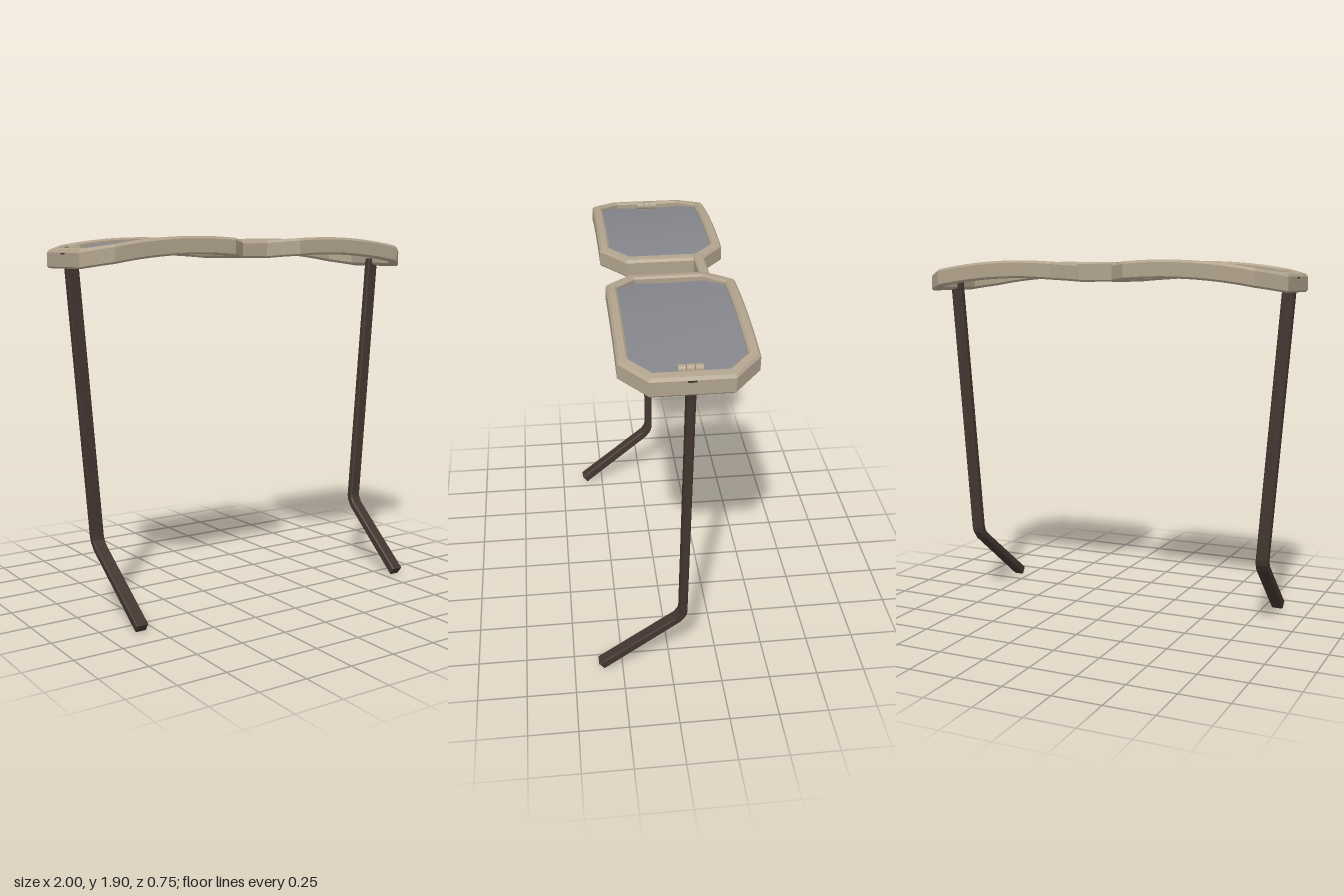
import * as THREE from 'three';
import { toCreasedNormals } from 'three/addons/utils/BufferGeometryUtils.js';
import { ParametricGeometry } from 'three/addons/geometries/ParametricGeometry.js';

const frameMat = new THREE.MeshStandardMaterial({ color: 0xb0a28c });
const templeMat = new THREE.MeshStandardMaterial({ color: 0x43352f });
const lensMat = new THREE.MeshStandardMaterial({ color: 0x83858b, side: THREE.DoubleSide });

const CX = 0.538, CZ = -0.062; // centre of one eye
const topY = (x) => 1.905 - 0.194 * (x - 0.4) ** 2; // arch of the front

// Chamfered rectangle outline, each edge split into equal steps
function octagon(hx, hz, c, steps) {
  const k = [[hx, -hz + c], [hx, hz - c], [hx - c, hz], [-hx + c, hz],
    [-hx, hz - c], [-hx, -hz + c], [-hx + c, -hz], [hx - c, -hz]];
  const out = [];
  k.forEach(([x, z], i) => {
    const [x2, z2] = k[(i + 1) % 8];
    for (let j = 0; j < steps; j++) {
      const t = j / steps;
      out.push([CX + x + (x2 - x) * t, CZ + z + (z2 - z) * t]);
    }
  });
  return out;
}

// Eye rim: bevelled section swept between inner and outer outlines, bent to the arch
function rimGeometry() {
  const outer = octagon(0.462, 0.312, 0.125, 14);
  const inner = octagon(0.408, 0.26, 0.095, 14);
  const section = [[0, 0.082], [0, 0.01], [0.18, 0], [0.8, 0], [1, 0.012], [1, 0.08], [0.85, 0.09], [0.15, 0.09]];
  const n = outer.length, m = section.length, pos = [], idx = [];
  for (let i = 0; i < n; i++) {
    for (const [u, d] of section) {
      const x = inner[i][0] + (outer[i][0] - inner[i][0]) * u;
      const z = inner[i][1] + (outer[i][1] - inner[i][1]) * u;
      pos.push(x, topY(x) - d, z);
    }
  }
  for (let i = 0; i < n; i++) {
    for (let j = 0; j < m; j++) {
      const a = i * m + j, b = i * m + (j + 1) % m;
      const c = ((i + 1) % n) * m + j, d = ((i + 1) % n) * m + (j + 1) % m;
      idx.push(a, c, b, b, c, d);
    }
  }
  const g = new THREE.BufferGeometry();
  g.setAttribute('position', new THREE.Float32BufferAttribute(pos, 3));
  g.setIndex(idx);
  return toCreasedNormals(g, 0.35);
}

// Lens: thin curved sheet cut to the inner outline
function lensGeometry() {
  return new ParametricGeometry((u, v, p) => {
    const w = 2 * v - 1, hz = 0.265;
    const hx = 0.412 - Math.max(0, Math.abs(w) * hz - (hz - 0.095));
    const x = CX + hx * (2 * u - 1);
    p.set(x, topY(x) - 0.02 - 0.015 * (1 - w * w), CZ + hz * w);
  }, 28, 28);
}

// Temple: bent bar, leaning inward towards its tip
function templeGeometry() {
  const side = [[-0.08, 1.8], [-0.08, 0.385], [-0.072, 0.355], [-0.045, 0.317], [0.346, 0.003],
    [0.374, 0.041], [-0.018, 0.348], [-0.036, 0.375], [-0.04, 0.395], [-0.04, 1.8]];
  const shape = new THREE.Shape(side.map(([z, y]) => new THREE.Vector2(-z, y)));
  const b = 0.006;
  const g = new THREE.ExtrudeGeometry(shape, {
    depth: 0.065 - 2 * b, bevelThickness: b, bevelSize: b, bevelOffset: -b, bevelSegments: 1,
  });
  g.rotateY(Math.PI / 2).translate(-0.0265, 0, 0);
  const p = g.attributes.position;
  for (let i = 0; i < p.count; i++) p.setX(i, p.getX(i) + 0.822 + 0.0758 * p.getY(i));
  g.computeVertexNormals();
  return g;
}

// Mirror a geometry across x = 0, keeping the faces outward
function mirrored(source) {
  const g = source.index ? source.toNonIndexed() : source.clone();
  g.scale(-1, 1, 1);
  for (const key of ['position', 'normal']) {
    const a = g.attributes[key].array;
    for (let i = 0; i < a.length; i += 9) {
      for (let k = 0; k < 3; k++) [a[i + 3 + k], a[i + 6 + k]] = [a[i + 6 + k], a[i + 3 + k]];
    }
  }
  return g;
}

export function createModel() {
  const model = new THREE.Group();
  model.name = 'sunglasses';
  const add = (name, geometry, material) => {
    const mesh = new THREE.Mesh(geometry, material);
    mesh.name = name;
    model.add(mesh);
  };
  const addPair = (name, geometry, material) => {
    add('left' + name, geometry, material);
    add('right' + name, mirrored(geometry), material);
  };

  addPair('Rim', rimGeometry(), frameMat);
  addPair('Lens', lensGeometry(), lensMat);
  addPair('Temple', templeGeometry(), templeMat);

  // Hinge: three knuckles on a leaf, with a small slot mark on the outer rim
  for (let i = 0; i < 3; i++) {
    const knuckle = new THREE.CylinderGeometry(0.02, 0.02, 0.034, 16);
    knuckle.rotateX(Math.PI / 2).translate(0.922, 1.838, -0.098 + i * 0.038);
    addPair('HingeKnuckle' + (i + 1), knuckle, frameMat);
  }
  addPair('HingeLeaf', new THREE.BoxGeometry(0.05, 0.04, 0.1).translate(0.935, 1.81, -0.06), frameMat);
  addPair('HingeSlot', new THREE.BoxGeometry(0.008, 0.008, 0.04).translate(0.998, 1.818, -0.06), templeMat);

  // Bridge: bevelled bar joining the rims
  const b = 0.008;
  const profile = new THREE.Shape([[-0.025, 1.806], [0.025, 1.806], [0.025, 1.895 - b], [0.025 - b, 1.895],
    [-0.025 + b, 1.895], [-0.025, 1.895 - b]].map(([z, y]) => new THREE.Vector2(z, y)));
  const bridge = new THREE.ExtrudeGeometry(profile, { depth: 0.23, bevelEnabled: false });
  bridge.translate(0, 0, -0.115).rotateY(Math.PI / 2).translate(0, 0, -0.24);
  add('bridge', bridge, frameMat);

  return model;
}
